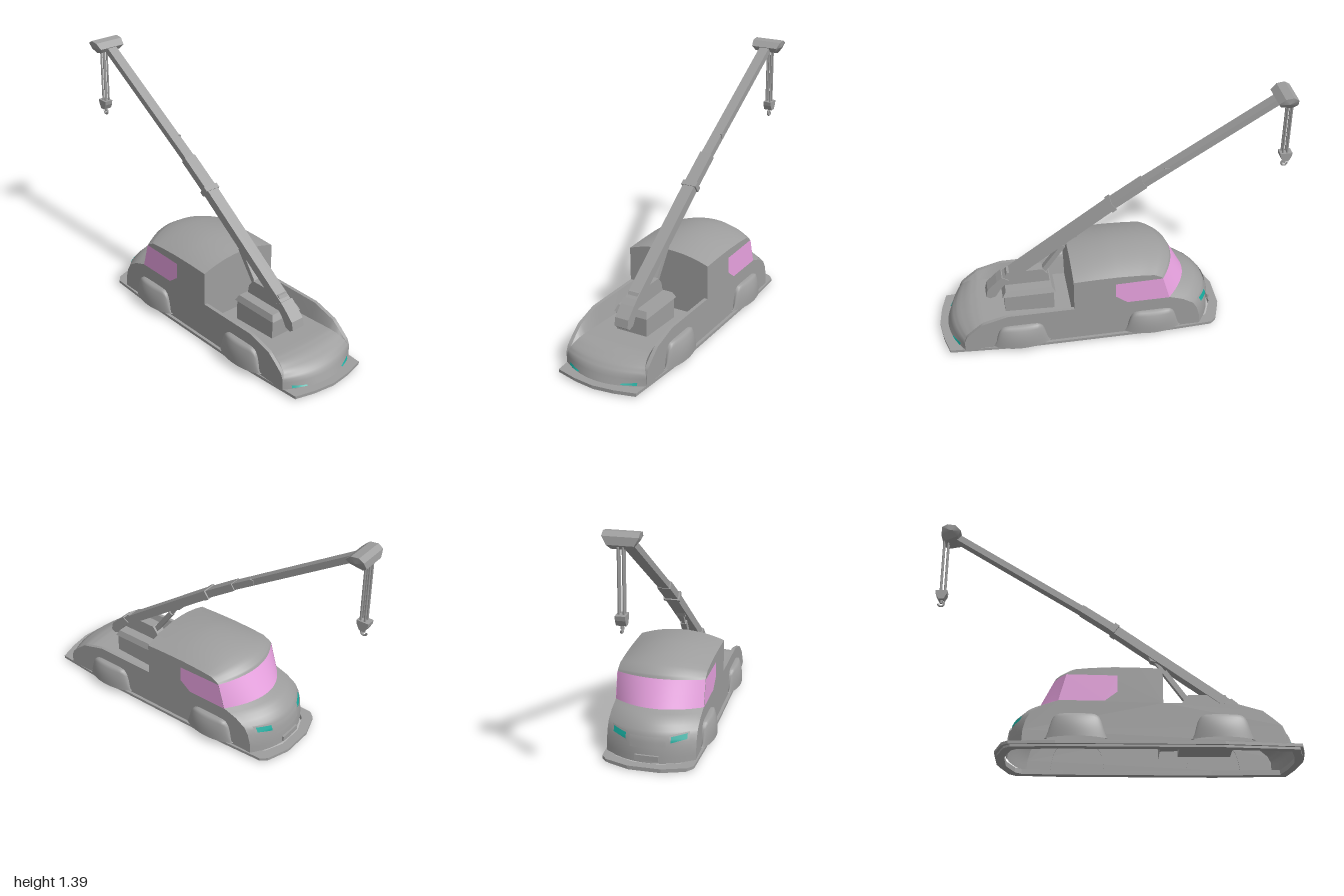
import * as THREE from 'three';

const mat = (color) => new THREE.MeshStandardMaterial({ color, side: THREE.DoubleSide });
const grey = mat(0x9e9e9e), glass = mat(0xe8a2e0), teal = mat(0x16a99c);

export function createModel() {
  const model = new THREE.Group();
  model.name = 'craneTruck';

  const add = (name, geo, material = grey) => {
    const mesh = new THREE.Mesh(geo, material);
    mesh.name = name;
    model.add(mesh);
    return mesh;
  };
  // Surface sampled from f(u, v) -> [x, y, z], with u and v from 0 to 1
  const grid = (nu, nv, f) => {
    const pos = [], idx = [];
    for (let i = 0; i <= nu; i++) for (let j = 0; j <= nv; j++) pos.push(...f(i / nu, j / nv));
    for (let i = 0; i < nu; i++) for (let j = 0; j < nv; j++) {
      const a = i * (nv + 1) + j, b = a + nv + 1;
      idx.push(a, a + 1, b, b, a + 1, b + 1);
    }
    const g = new THREE.BufferGeometry();
    g.setAttribute('position', new THREE.Float32BufferAttribute(pos, 3));
    g.setIndex(idx);
    g.computeVertexNormals();
    return g;
  };
  // Linear lookup in a table of rows, s from 0 to 1
  const row = (rows, s) => {
    const k = s * (rows.length - 1), i = Math.min(Math.floor(k), rows.length - 2);
    return rows[i].map((a, c) => a + (rows[i + 1][c] - a) * (k - i));
  };
  const shape = (pts) => new THREE.Shape(pts.map((p) => new THREE.Vector2(p[0], p[1])));
  const slab = (name, pts, width) => {
    const g = new THREE.ExtrudeGeometry(shape(pts), { depth: width, bevelEnabled: false });
    return add(name, g.translate(0, 0, -width / 2));
  };
  const box = (name, x, y, z, w, h, d) => add(name, new THREE.BoxGeometry(w, h, d).translate(x, y, z));
  // Straight bar between two points of the z = 0 plane
  const beam = (name, p, q, h, w) => {
    const m = add(name, new THREE.BoxGeometry(Math.hypot(q[0] - p[0], q[1] - p[1]), h, w));
    m.position.set((p[0] + q[0]) / 2, (p[1] + q[1]) / 2, 0);
    m.rotation.z = Math.atan2(q[1] - p[1], q[0] - p[0]);
  };

  // Cab panels: rows of [x, y, backward sweep at the edge, drop at the edge]
  const W = 0.245;
  const hood = [[-0.562, 0.025, 0.09, 0], [-0.558, 0.09, 0.09, 0], [-0.548, 0.15, 0.095, 0.005],
    [-0.53, 0.195, 0.1, 0.01], [-0.48, 0.243, 0.11, 0.02], [-0.41, 0.268, 0.12, 0.018]];
  const screen = [[-0.41, 0.268, 0.12, 0.018], [-0.335, 0.41, 0.085, 0.015]];
  const roof = [[-0.335, 0.41, 0.085, 0.015], [-0.325, 0.43, 0.085, 0.025], [-0.27, 0.465, 0.07, 0.04],
    [-0.15, 0.49, 0.03, 0.058], [0, 0.5, 0, 0.063], [0.13, 0.492, 0, 0.056], [0.25, 0.477, 0, 0.045]];
  const panel = (rows, s, t, off = 0) => {
    const [x, y, sweep, drop] = row(rows, s);
    return [x + sweep * t * t - off, y - drop * t * t + off * 0.3, W * t];
  };
  const cabPanel = (name, rows, n, material) =>
    add(name, grid(n, 20, (u, v) => panel(rows, u, v * 2 - 1)), material);
  cabPanel('hood', hood, 10);
  cabPanel('windshield', screen, 2, glass);
  cabPanel('roof', roof, 12);
  add('cabBack', grid(20, 1, (u, v) => {
    const t = u * 2 - 1;
    return [0.25, 0.1 + v * (0.377 - 0.045 * t * t), W * t];
  }));

  // Side walls follow the outer edge of the cab panels and the bed rails
  const edge = [...hood, ...screen.slice(1), ...roof.slice(1)].map(([x, y, s, d]) => [x + s, y - d]);
  const tail = [[0.25, 0.24], [0.62, 0.24], [0.76, 0.2], [0.81, 0.16], [0.855, 0.12], [0.87, 0.085], [0.87, 0.025]];
  const sideWindow = [[-0.29, 0.25], [-0.25, 0.395], [0.015, 0.39], [0.015, 0.3], [-0.05, 0.25]];
  for (const side of [1, -1]) {
    add('sideWall', new THREE.ShapeGeometry(shape([...edge, ...tail])).translate(0, 0, side * W));
    add('sideWindow', new THREE.ShapeGeometry(shape(sideWindow)).translate(0, 0, side * (W + 0.002)), glass);
  }

  // Bed and tail: rows of [x, rail height, deck height, backward bow at the middle, deck half width]
  const bed = [[0.25, 0.24, 0.13, 0, 0.2], [0.62, 0.24, 0.147, 0, 0.2], [0.76, 0.2, 0.155, 0.01, 0.2],
    [0.81, 0.16, 0.145, 0.02, 0.21], [0.855, 0.12, 0.117, 0.04, 0.225], [0.87, 0.085, 0.085, 0.06, 0.24],
    [0.87, 0.025, 0.025, 0.085, W]];
  add('bedDeck', grid(18, 20, (u, v) => {
    const [x, , deck, bow, w] = row(bed, u), t = v * 2 - 1;
    return [x + bow * (1 - t * t), deck, w * t];
  }));
  for (const side of [1, -1]) {
    add('bedRail', grid(18, 1, (u, v) => {
      const [x, rail, , , w] = row(bed, u), inner = Math.max(w, 0.225);
      return [x, rail, side * (inner + (W - inner) * v)];
    }));
    add('bedInnerWall', grid(18, 1, (u, v) => {
      const [x, rail, deck, , w] = row(bed, u);
      return [x, deck + (rail - deck) * v, side * (w + (Math.max(w, 0.225) - w) * v)];
    }));
  }

  // Bulging wheel covers
  for (const side of [1, -1]) for (const cx of [-0.195, 0.55]) {
    add('wheelCover', grid(24, 8, (u, v) => {
      const a = Math.sin((u - 0.5) * Math.PI), h = 0.13 * (1 - Math.abs(a) ** 9);
      const k = Math.min(1, v * 8 / 7);
      const z = v === 1 ? 0.24 : 0.245 + (0.052 - 0.025 * k ** 3) * (1 - a * a) ** 0.7;
      return [cx + 0.163 * a * (1 - 0.1 * k), 0.04 + h * k, side * z];
    }));
  }

  // Open skirt around the bottom, in two layers
  const half = [[-0.62, 0.09], [-0.575, 0.22], [-0.54, 0.25], [-0.3, 0.262], [0.56, 0.262], [0.955, 0.235], [0.985, 0.12], [1, 0]];
  const outline = [...half, ...half.slice(0, -1).reverse().map(([x, z]) => [x, -z])];
  const skirt = (name, inset, y, h) => {
    const scaled = (d) => outline.map(([x, z]) => [0.19 + (x - 0.19) * (1 - d / 0.81), z * (1 - d / 0.262)]);
    const s = shape(scaled(inset));
    s.holes.push(new THREE.Path(scaled(0.05).map((p) => new THREE.Vector2(...p))));
    const g = new THREE.ExtrudeGeometry(s, { depth: h, bevelEnabled: false });
    add(name, g.rotateX(-Math.PI / 2).translate(0, y, 0));
  };
  skirt('skirtLower', 0.012, 0, 0.012);
  skirt('skirtUpper', 0, 0.012, 0.016);

  // Lamps and grille lie just proud of the bodywork
  const patch = (name, s0, s1, t0, t1, off, material, slant = 0) =>
    add(name, grid(4, 4, (u, v) => panel(hood, s0 + (s1 - s0) * u + slant * v, t0 + (t1 - t0) * v, off)), material);
  for (const side of [1, -1]) {
    patch('headlightFrame', 0.32, 0.53, side * 0.46, side * 0.86, 0.003, grey, 0.06);
    patch('headlight', 0.36, 0.49, side * 0.5, side * 0.82, 0.006, teal, 0.06);
    add('tailLight', grid(1, 6, (u, v) => {
      const t = side * (0.53 + 0.32 * v);
      return [0.878 + 0.08 * (1 - t * t) - 0.006 * u, 0.034 + (0.004 + 0.01 * v) * u, 0.24 * t];
    }), teal);
  }
  patch('grille', 0.25, 0.48, -0.4, 0.4, 0.006, grey);
  box('bumperBar', -0.564, 0.055, 0, 0.012, 0.03, 0.13);

  // Crane base in the bed, its lid bevelled towards the top
  box('craneBase', 0.485, 0.16, 0, 0.28, 0.19, 0.185);
  const lid = new THREE.CylinderGeometry(0.87, 1, 1, 4).rotateY(Math.PI / 4);
  lid.scale(0.3 / Math.SQRT2, 0.034, 0.2 / Math.SQRT2);
  add('craneBaseLid', lid.toNonIndexed().translate(0.485, 0.27, 0)).geometry.computeVertexNormals();
  slab('craneHousing', [[0.36, 0.285], [0.37, 0.335], [0.4, 0.374], [0.6, 0.374], [0.63, 0.32], [0.63, 0.285]], 0.06);

  // Boom in three telescoping lengths
  beam('boomLower', [0.66, 0.29], [0, 0.765], 0.05, 0.07);
  beam('boomMiddle', [0.01, 0.76], [-0.18, 0.888], 0.042, 0.072);
  beam('boomUpper', [-0.16, 0.875], [-0.91, 1.35], 0.036, 0.06);
  beam('boomCollar', [0.016, 0.755], [-0.008, 0.772], 0.054, 0.09);
  slab('boomPivot', [[0.59, 0.325], [0.63, 0.35], [0.66, 0.325], [0.715, 0.27], [0.725, 0.225], [0.705, 0.21], [0.67, 0.22], [0.64, 0.27]], 0.08);
  box('boomKnob', -0.3, 0.97, -0.03, 0.025, 0.025, 0.012);
  slab('ramBracket', [[0.18, 0.62], [0.2, 0.575], [0.235, 0.565], [0.26, 0.58], [0.27, 0.6]], 0.05);
  beam('ramRod', [0.225, 0.58], [0.32, 0.45], 0.018, 0.02);
  beam('ramCylinder', [0.275, 0.515], [0.4, 0.34], 0.028, 0.034);

  // Boom head: side outline, narrower towards the bottom
  const head = [[-0.955, 1.305], [-0.983, 1.33], [-0.978, 1.37], [-0.95, 1.388], [-0.905, 1.382], [-0.872, 1.352], [-0.89, 1.325], [-0.955, 1.305]];
  const headWidth = (y) => 0.05 + 0.038 * Math.min(1, (y - 1.305) / 0.06);
  const headGeo = grid(7, 1, (u, v) => {
    const [x, y] = head[Math.round(u * 7)];
    return [x, y, (v * 2 - 1) * headWidth(y)];
  });
  add('boomHead', headGeo.toNonIndexed()).geometry.computeVertexNormals();
  for (const side of [1, -1]) add('boomHeadCheek', grid(7, 1, (u, v) => {
    const [x, y] = head[Math.round(u * 7)];
    return v ? [x, y, side * headWidth(y)] : [-0.93, 1.35, side * 0.086];
  }));

  // Cables, block and hook
  for (const x of [-0.972, -0.948]) for (const z of [-0.012, 0.012])
    add('cable', new THREE.CylinderGeometry(0.006, 0.006, 0.33, 6).translate(x, 1.155, z));
  slab('hookBlock', [[-1, 0.998], [-0.932, 0.998], [-0.935, 0.975], [-0.95, 0.945], [-0.98, 0.945], [-0.996, 0.975]], 0.05);
  add('hookShank', new THREE.CylinderGeometry(0.008, 0.008, 0.025, 8).translate(-0.966, 0.938, 0));
  add('hook', new THREE.TorusGeometry(0.016, 0.006, 6, 14, Math.PI * 1.45).rotateZ(-Math.PI * 0.95).translate(-0.966, 0.924, 0));
  return model;
}
